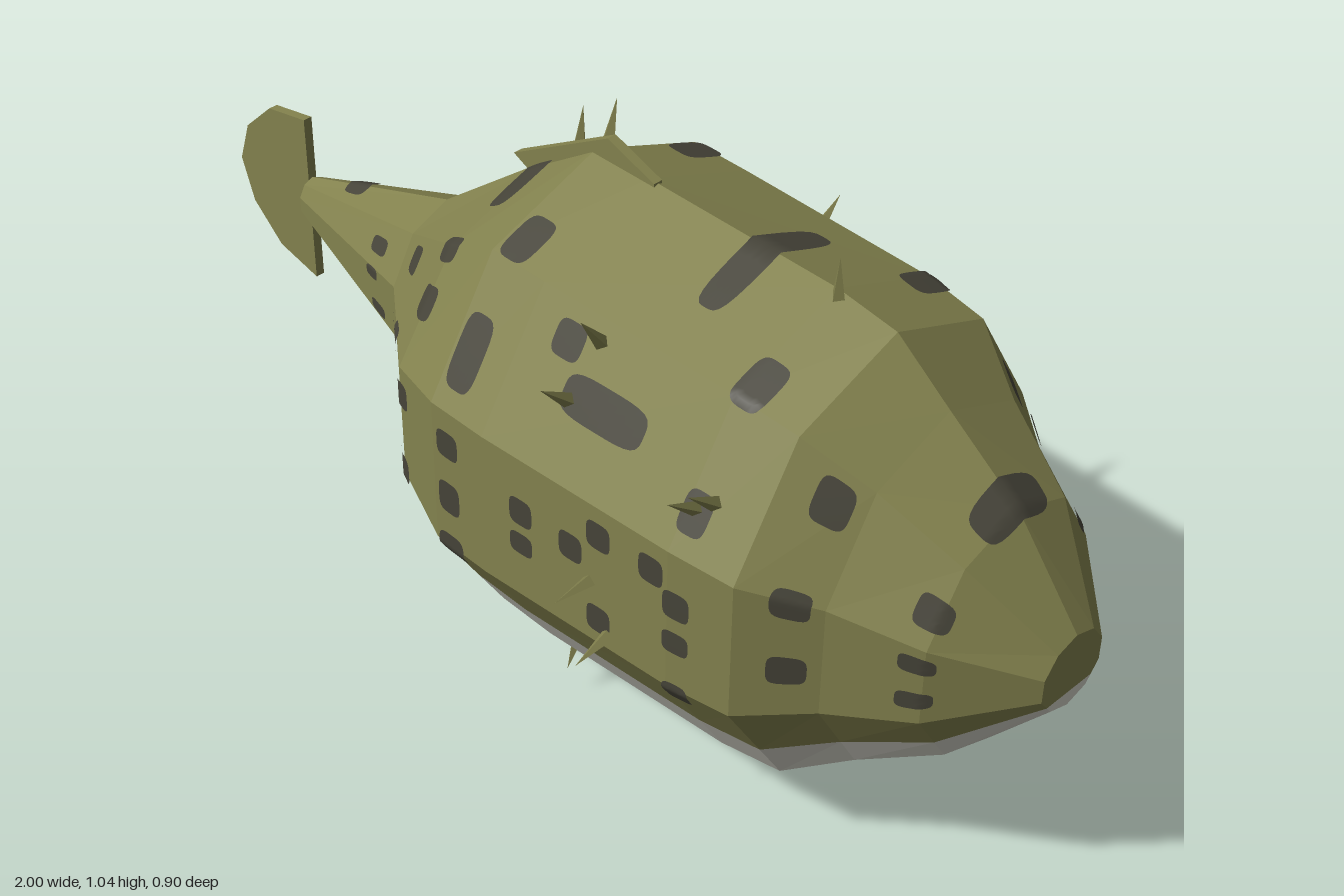
import * as THREE from 'three';
import { mergeGeometries } from 'three/addons/utils/BufferGeometryUtils.js';

// Body rings from tail to mouth: x, centre y, half height, half depth
const RINGS = [
  [-0.79, 0.535, 0.047, 0.034], [-0.4, 0.535, 0.18, 0.138], [-0.15, 0.54, 0.366, 0.345],
  [-0.02, 0.533, 0.459, 0.39], [0.1, 0.53, 0.46, 0.39], [0.5, 0.535, 0.445, 0.374],
  [0.62, 0.535, 0.426, 0.357], [0.73, 0.535, 0.34, 0.27], [0.87, 0.535, 0.235, 0.2],
  [1, 0.535, 0.071, 0.073],
];
const STEP = Math.PI / 5;
const BELLY = 3.6; // where the belly colour starts, in ten-sided steps from the top

function ringAt(x) {
  let i = 0;
  while (i < RINGS.length - 2 && x > RINGS[i + 1][0]) i++;
  const a = RINGS[i], b = RINGS[i + 1], t = (x - a[0]) / (b[0] - a[0]);
  return a.map((v, k) => v + (b[k] - v) * t);
}

// Point on the ten-sided body; u runs from the top (0) by the left side to the bottom (5)
function surface(x, u, lift = 0) {
  const [, c, ry, rz] = ringAt(x);
  const k = Math.floor(u), t = u - k;
  const mix = f => f(k * STEP) * (1 - t) + f((k + 1) * STEP) * t;
  const p = new THREE.Vector3(x, c + ry * mix(Math.cos), rz * mix(Math.sin));
  const n = new THREE.Vector3(0, Math.cos(u * STEP) / ry, Math.sin(u * STEP) / rz).normalize();
  return p.addScaledVector(n, lift);
}

// Flat-faced skin over a range of u, with closed ends
function skin(us) {
  const pos = [];
  const tri = (...pts) => pts.forEach(p => pos.push(p.x, p.y, p.z));
  for (let i = 0; i < RINGS.length - 1; i++) {
    const x0 = RINGS[i][0], x1 = RINGS[i + 1][0];
    for (let j = 0; j < us.length - 1; j++) {
      const a = surface(x0, us[j]), b = surface(x0, us[j + 1]);
      const c = surface(x1, us[j]), d = surface(x1, us[j + 1]);
      tri(a, b, c);
      tri(b, d, c);
    }
  }
  for (let j = 1; j < us.length - 1; j++) {
    tri(...[us[0], us[j], us[j + 1]].map(u => surface(1, u)));
    tri(...[us[0], us[j + 1], us[j]].map(u => surface(-0.79, u)));
  }
  const g = new THREE.BufferGeometry();
  g.setAttribute('position', new THREE.Float32BufferAttribute(pos, 3));
  g.computeVertexNormals();
  return g;
}

// Rounded patch laid on the body, w along x and h around it
function spot(x, u, w, h) {
  const g = new THREE.PlaneGeometry(2, 2, 8, 8);
  const p = g.attributes.position;
  const [, , ry, rz] = ringAt(x);
  const du = h / 2 / (STEP * (ry + rz) / 2);
  for (let i = 0; i < p.count; i++) {
    const a = p.getX(i), b = p.getY(i);
    const len = Math.pow(a ** 4 + b ** 4, 0.25) || 1;
    const s = Math.max(Math.abs(a), Math.abs(b)) / len;
    const q = surface(x + a * s * w / 2, u - b * s * du, 0.005);
    p.setXYZ(i, q.x, q.y, q.z);
  }
  g.computeVertexNormals();
  return g;
}

// Find u from a height on the side of the body
function uAtHeight(x, y) {
  let lo = 0, hi = 5;
  for (let i = 0; i < 24; i++) {
    const m = (lo + hi) / 2;
    if (surface(x, m).y > y) lo = m; else hi = m;
  }
  return lo;
}

// Thin upright plate from an outline in x and y
function plate(points, depth) {
  const shape = new THREE.Shape(points.map(p => new THREE.Vector2(...p)));
  return new THREE.ExtrudeGeometry(shape, { depth, bevelEnabled: false }).translate(0, 0, -depth / 2);
}

export function createModel() {
  const group = new THREE.Group();
  const make = (name, color) => {
    const m = new THREE.MeshStandardMaterial({ color });
    m.name = name;
    return m;
  };
  const olive = make('olive skin', 0x83824e);
  const pale = make('pale belly', 0xd0cfc4);
  const dark = make('dark spots', 0x464439);
  const add = (name, geometry, material) => {
    const mesh = new THREE.Mesh(geometry, material);
    mesh.name = name;
    group.add(mesh);
    return mesh;
  };

  add('back', skin([-BELLY, -3, -2, -1, 0, 1, 2, 3, BELLY]), olive);
  add('belly', skin([BELLY, 4, 5, 6, 10 - BELLY]), pale);

  // Fins
  add('tailFin', plate([[-0.79, 0.358], [-0.79, 0.71], [-0.895, 0.69], [-0.97, 0.62],
    [-1, 0.535], [-0.97, 0.45], [-0.895, 0.383]], 0.018), olive);
  add('dorsalFin', plate([[-0.21, 0.902], [-0.1, 0.85], [0.12, 0.95], [0.12, 0.992], [0.015, 1.03]], 0.018), olive);
  add('analFin', plate([[-0.26, 0.28], [-0.21, 0.18], [-0.12, 0.14], [-0.1, 0.25]], 0.018), olive);
  const sideFin = add('sideFin', plate([[0.33, -0.03], [0.46, -0.03], [0.38, 0.035]], 0.012).rotateX(-Math.PI / 2), olive);
  sideFin.position.set(0, 0.468, -0.358);

  // Spots on both sides: x, height, width, tallness
  const sideSpots = [
    [-0.48, 0.62, 0.05, 0.03], [-0.48, 0.575, 0.04, 0.02], [-0.46, 0.51, 0.05, 0.02],
    [-0.31, 0.7, 0.05, 0.05], [-0.31, 0.59, 0.04, 0.04], [-0.31, 0.49, 0.05, 0.04],
    [-0.25, 0.625, 0.05, 0.04], [-0.15, 0.75, 0.06, 0.06], [-0.14, 0.605, 0.05, 0.05],
    [-0.15, 0.45, 0.05, 0.05], [0.02, 0.765, 0.06, 0.13], [0.02, 0.61, 0.05, 0.05],
    [0.02, 0.5, 0.05, 0.06], [0.02, 0.39, 0.06, 0.06], [0.19, 0.85, 0.06, 0.06],
    [0.19, 0.57, 0.05, 0.05], [0.19, 0.505, 0.05, 0.04], [0.3, 0.79, 0.17, 0.07],
    [0.3, 0.565, 0.05, 0.05], [0.36, 0.62, 0.05, 0.05], [0.36, 0.45, 0.05, 0.05],
    [0.47, 0.62, 0.05, 0.05], [0.52, 0.735, 0.05, 0.07], [0.52, 0.575, 0.05, 0.05],
    [0.52, 0.5, 0.05, 0.04], [0.52, 0.39, 0.05, 0.05], [0.69, 0.79, 0.05, 0.07],
    [0.69, 0.645, 0.05, 0.05], [0.69, 0.515, 0.05, 0.05], [0.86, 0.66, 0.05, 0.05],
    [0.86, 0.58, 0.05, 0.03], [0.86, 0.51, 0.05, 0.03],
    [0.02, 0.92, 0.06, 0.1], [0.52, 0.905, 0.06, 0.1], [-0.15, 0.83, 0.06, 0.05],
  ];
  // Long bars across the ridge: x, width, span
  const ridgeSpots = [[-0.64, 0.06, 0.06], [-0.145, 0.06, 0.25], [0.355, 0.06, 0.31], [0.855, 0.055, 0.17]];
  const spots = ridgeSpots.map(([x, w, h]) => spot(x, 0, w, h));
  for (const [x, y, w, h] of sideSpots) {
    const u = uAtHeight(x, y);
    spots.push(spot(x, u, w, h), spot(x, -u, w, h));
  }
  add('spots', mergeGeometries(spots), dark);

  // Spines, each given by its tip and pointing out from the body's axis
  const tips = [
    [0.51, 1.045, 0.01], [-0.11, 1.01, -0.057], [-0.095, 1.005, -0.12], [0.25, 0.935, 0.295],
    [0.24, 0.84, 0.37], [0.55, 0.815, 0.368], [0.52, 0.79, 0.38], [0.35, 0.53, 0.45],
    [0.385, 0.415, 0.44], [0.11, 0.06, 0.2], [-0.01, 0.003, -0.045], [-0.315, 0.23, 0.03],
    [0.2, 0.845, -0.355], [-0.03, 0.72, -0.425], [-0.015, 0.6, -0.452], [0.18, 0.49, -0.452],
    [0.49, 0.36, -0.412], [0.66, 0.435, -0.392],
  ];
  const up = new THREE.Vector3(0, 1, 0);
  const spineShape = new THREE.ConeGeometry(0.013, 0.075, 4).translate(0, -0.0375, 0).toNonIndexed();
  spineShape.computeVertexNormals();
  for (const tip of tips) {
    const spine = add('spine', spineShape, olive);
    spine.position.set(...tip);
    spine.quaternion.setFromUnitVectors(up, new THREE.Vector3(0, tip[1] - 0.53, tip[2]).normalize());
  }
  return group;
}
